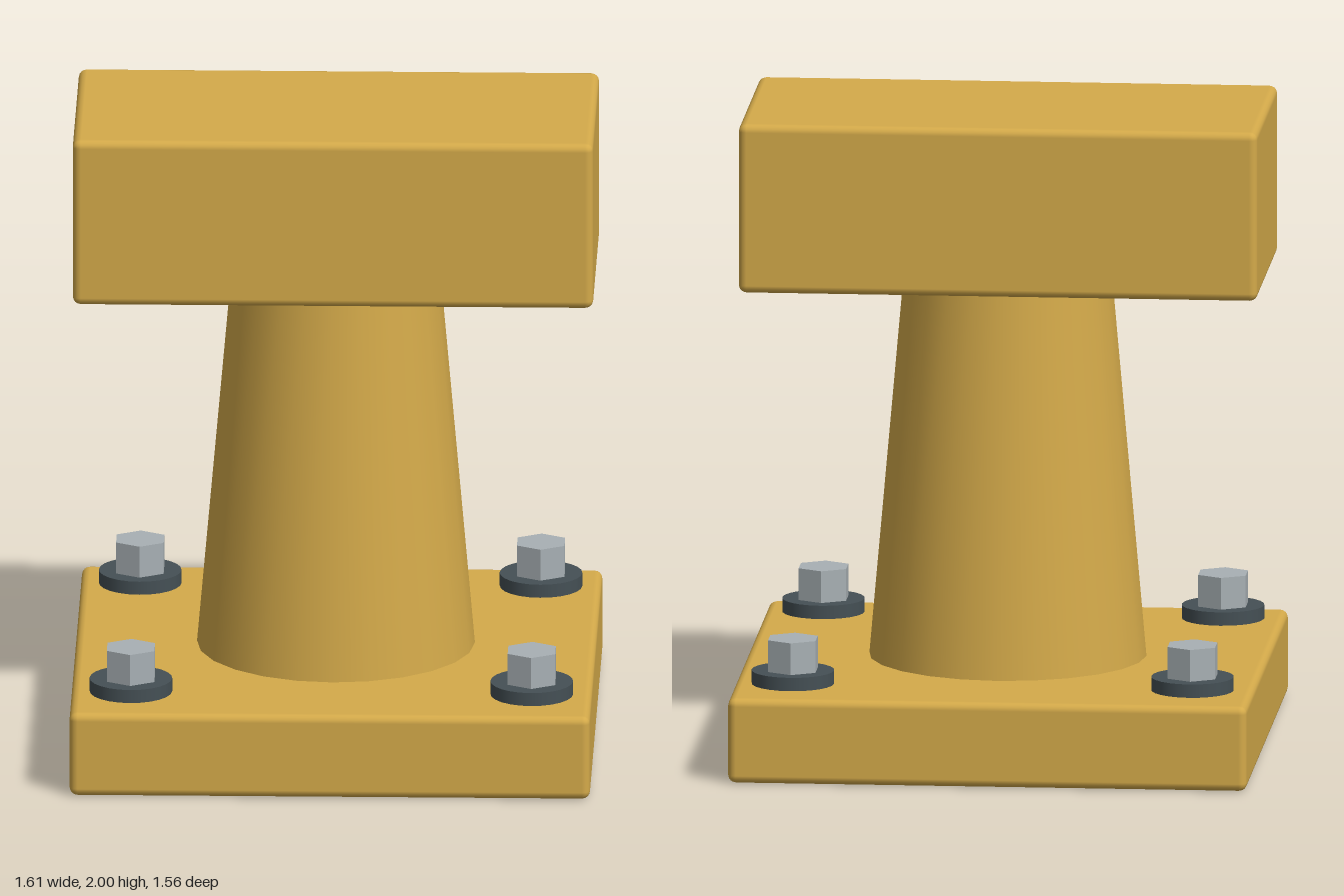
import * as THREE from 'three';
import { RoundedBoxGeometry } from 'three/addons/geometries/RoundedBoxGeometry.js';

const paint = new THREE.MeshStandardMaterial({ color: 0xd4aa4a });
const darkSteel = new THREE.MeshStandardMaterial({ color: 0x455055 });
const steel = new THREE.MeshStandardMaterial({ color: 0xa8b0b4, flatShading: true });

// Adds a named mesh spanning bottom..top in height
function add(parent, name, geometry, material, bottom, top) {
  const mesh = new THREE.Mesh(geometry, material);
  mesh.name = name;
  mesh.position.y = (bottom + top) / 2;
  parent.add(mesh);
  return mesh;
}

function block(parent, name, width, depth, bottom, top) {
  const geometry = new RoundedBoxGeometry(width, top - bottom, depth, 2, 0.025);
  add(parent, name, geometry, paint, bottom, top);
}

function round(parent, name, material, rTop, rBottom, sides, bottom, top) {
  const geometry = new THREE.CylinderGeometry(rTop, rBottom, top - bottom, sides);
  add(parent, name, geometry, material, bottom, top);
}

export function createModel() {
  const model = new THREE.Group();
  model.name = 'bollard';

  // Base plate, tapered column and crosswise head
  block(model, 'basePlate', 1.61, 1.56, 0, 0.268);
  round(model, 'column', paint, 0.322, 0.43, 24, 0.266, 1.48);
  block(model, 'head', 1.61, 0.775, 1.467, 2);

  // Hex bolt on a washer at each corner of the plate
  for (const x of [-0.62, 0.62]) {
    for (const z of [-0.565, 0.565]) {
      const bolt = new THREE.Group();
      bolt.name = 'bolt';
      bolt.position.set(x, 0, z);
      round(bolt, 'washer', darkSteel, 0.128, 0.128, 24, 0.278, 0.32);
      round(bolt, 'boltHead', steel, 0.085, 0.085, 6, 0.31, 0.42);
      model.add(bolt);
    }
  }
  return model;
}
